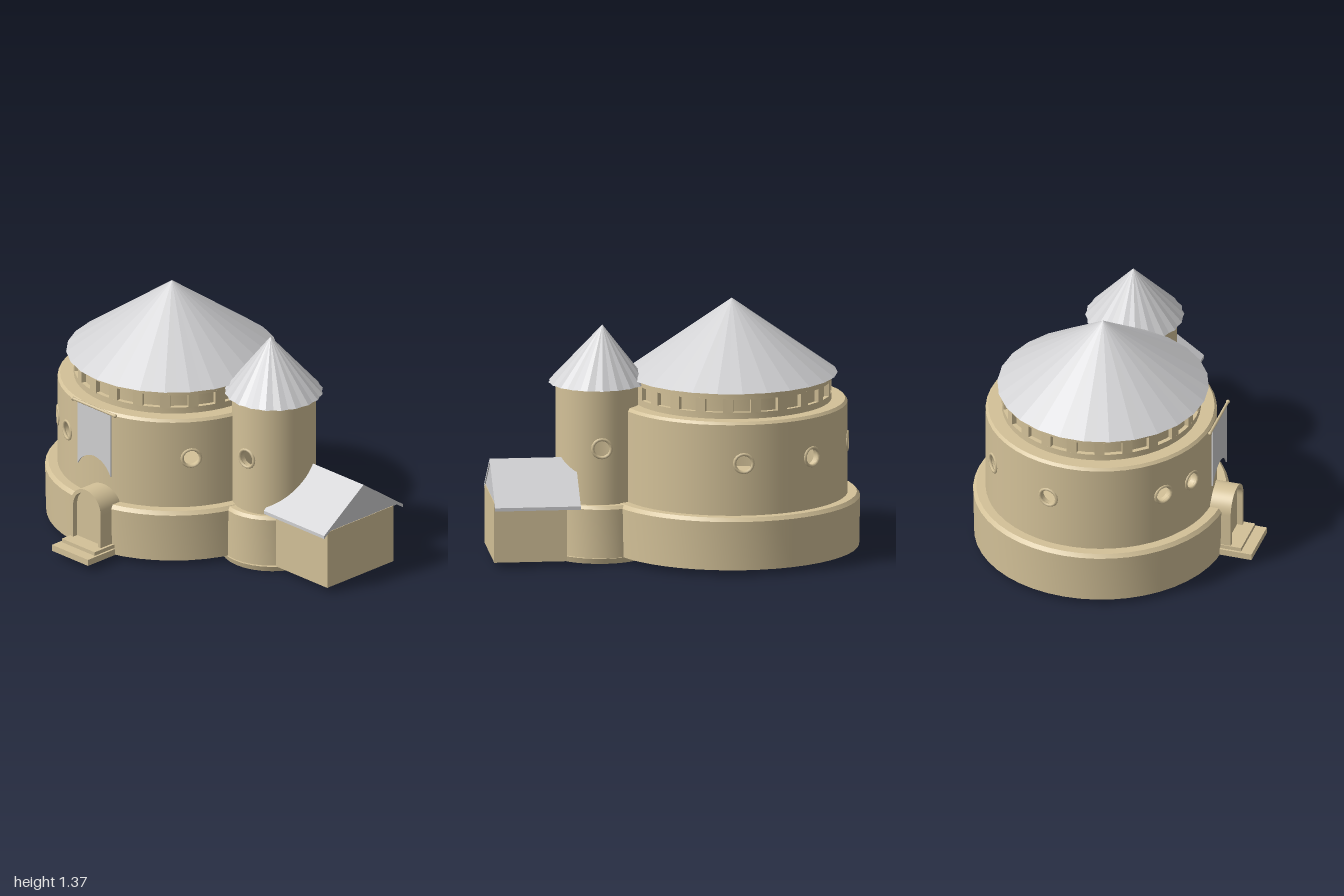
import * as THREE from 'three';
import { toCreasedNormals } from 'three/addons/utils/BufferGeometryUtils.js';

export function createModel() {
  const model = new THREE.Group();
  const stone = new THREE.MeshStandardMaterial({ color: 0xd3c198, side: THREE.DoubleSide });
  stone.name = 'sandstone';
  const slate = new THREE.MeshStandardMaterial({ color: 0xd0d0d2, side: THREE.DoubleSide, flatShading: true });
  slate.name = 'pale grey';

  const add = (parent, name, geometry, material, x = 0, y = 0, z = 0) => {
    const mesh = new THREE.Mesh(geometry, material);
    mesh.name = name;
    mesh.position.set(x, y, z);
    parent.add(mesh);
    return mesh;
  };
  const box = (parent, name, w, h, d, x, y, z, material = stone) =>
    add(parent, name, new THREE.BoxGeometry(w, h, d), material, x, y, z);
  const lathe = (profile, segments = 48) => toCreasedNormals(
    new THREE.LatheGeometry(profile.map(([r, y]) => new THREE.Vector2(r, y)), segments), 0.6);

  // Round wall shell with real round openings; angles run from +z towards +x
  function wallShell(r, y0, y1, yc, hole, degrees) {
    const pos = [], nor = [];
    const put = ([a, y]) => {
      pos.push(r * Math.sin(a), y, r * Math.cos(a));
      nor.push(Math.sin(a), 0, Math.cos(a));
    };
    const quad = (a, b, c, d) => [a, b, c, a, c, d].forEach(put);
    const half = (hole + 0.02) / r;
    const angles = degrees.map(THREE.MathUtils.degToRad).sort((a, b) => a - b);
    angles.forEach((mid, i) => {
      // panel: blends from the circular hole to a rectangle
      const n = 24;
      const at = (k, outer) => {
        const t = k / n * Math.PI * 2, c = Math.cos(t), s = Math.sin(t);
        if (!outer) return [mid + hole * c / r, yc + hole * s];
        const m = Math.max(Math.abs(c), Math.abs(s));
        return [mid + half * c / m, yc + (s > 0 ? y1 - yc : yc - y0) * s / m];
      };
      for (let k = 0; k < n; k++) quad(at(k, 0), at(k, 1), at(k + 1, 1), at(k + 1, 0));
      // plain wall up to the next panel
      const start = mid + half;
      const end = (i + 1 < angles.length ? angles[i + 1] : angles[0] + Math.PI * 2) - half;
      const steps = Math.max(1, Math.ceil((end - start) / 0.13));
      for (let k = 0; k < steps; k++) {
        const a = start + (end - start) * k / steps, b = start + (end - start) * (k + 1) / steps;
        quad([a, y0], [b, y0], [b, y1], [a, y1]);
      }
    });
    const g = new THREE.BufferGeometry();
    g.setAttribute('position', new THREE.Float32BufferAttribute(pos, 3));
    g.setAttribute('normal', new THREE.Float32BufferAttribute(nor, 3));
    return g;
  }

  // Rim and reveal of each round window
  function windows(parent, r, y, hole, degrees) {
    degrees.forEach((deg) => {
      const g = new THREE.Group();
      g.name = 'roundWindow';
      g.rotation.y = THREE.MathUtils.degToRad(deg);
      add(g, 'windowRim', new THREE.TorusGeometry(hole, 0.009, 6, 16), stone, 0, y, r - 0.002);
      const reveal = new THREE.CylinderGeometry(hole, hole, 0.04, 16, 1, true).rotateX(Math.PI / 2);
      add(g, 'windowReveal', reveal, stone, 0, y, r - 0.02);
      parent.add(g);
    });
  }

  // Cone whose every other rib is drawn in, giving folded sheets
  function pleatedRoof(radius, height, folds, depth) {
    const g = new THREE.ConeGeometry(radius, height, folds * 2, 1);
    const p = g.attributes.position;
    for (let i = 0; i < p.count; i++) {
      const x = p.getX(i), z = p.getZ(i);
      if (Math.hypot(x, z) < radius * 0.5) continue;
      const k = Math.round(Math.atan2(x, z) / Math.PI * folds);
      if (Math.abs(k) % 2) p.setXYZ(i, x * (1 - depth), p.getY(i), z * (1 - depth));
    }
    return g;
  }

  // Main round tower
  const keep = new THREE.Group();
  keep.name = 'mainTower';
  keep.position.set(-0.315, 0, -0.085);
  model.add(keep);
  add(keep, 'plinth', lathe([[0, 0.03], [0.68, 0.03], [0.685, 0.295], [0.668, 0.315], [0, 0.315]]), stone);
  const keepWindows = [-40, -21, 54.5, 180, -142, -100];
  add(keep, 'wall', wallShell(0.618, 0.31, 0.805, 0.6, 0.05, keepWindows), stone);
  windows(keep, 0.618, 0.6, 0.05, keepWindows);
  add(keep, 'wallTop', lathe([[0.618, 0.8], [0.618, 0.81], [0.605, 0.825], [0.49, 0.825]]), stone);

  // Upper drum with a ring of small square recesses
  add(keep, 'drumCore', lathe([[0.508, 0.82], [0.508, 0.97]]), stone);
  add(keep, 'drumSill', lathe([[0.532, 0.82], [0.532, 0.86], [0.505, 0.86]]), stone);
  add(keep, 'drumLintel', lathe([[0.505, 0.93], [0.532, 0.93], [0.532, 0.97]]), stone);
  const bays = 22;
  for (let i = 0; i < bays; i++) {
    const a = (i + 0.5) / bays * Math.PI * 2;
    const pier = box(keep, 'drumPier', 0.055, 0.08, 0.03, 0.516 * Math.sin(a), 0.895, 0.516 * Math.cos(a));
    pier.rotation.y = a;
  }
  add(keep, 'mainRoof', pleatedRoof(0.566, 0.405, 26, 0.008), slate, 0, 1.1675, 0.01);

  // Side turret
  const turret = new THREE.Group();
  turret.name = 'sideTurret';
  turret.position.set(0.41, 0, -0.125);
  model.add(turret);
  add(turret, 'turretFooting', new THREE.CylinderGeometry(0.28, 0.27, 0.03, 32), stone, -0.01, 0.015, 0);
  add(turret, 'turretPlinth', lathe([[0, 0.02], [0.27, 0.02], [0.27, 0.295], [0.255, 0.312], [0, 0.312]], 32), stone, -0.02);
  add(turret, 'turretWall', wallShell(0.225, 0.3, 0.95, 0.62, 0.05, [5, 180]), stone);
  windows(turret, 0.225, 0.62, 0.05, [5, 180]);
  const cone = pleatedRoof(0.265, 0.31, 20, 0.03);
  const cp = cone.attributes.position;
  for (let i = 0; i < cp.count; i++) if (cp.getY(i) > 0) cp.setX(i, cp.getX(i) - 0.025);
  add(turret, 'turretRoof', cone, slate, 0, 1.095, 0);

  // Gabled annex
  const annex = new THREE.Group();
  annex.name = 'annex';
  model.add(annex);
  box(annex, 'annexWalls', 0.39, 0.325, 0.495, 0.803, 0.1925, -0.195);
  const prism = (points, length) => new THREE.ExtrudeGeometry(
    new THREE.Shape(points.map(([x, y]) => new THREE.Vector2(x, y))),
    { depth: length, bevelEnabled: false }).rotateY(Math.PI / 2);
  add(annex, 'annexGable', prism([[-0.265, 0.352], [0.265, 0.352], [0, 0.54]], 0.35), slate, 0.645, 0, -0.217);
  add(annex, 'annexRoof', prism([[-0.295, 0.325], [0, 0.532], [0.295, 0.325],
    [0.295, 0.343], [0, 0.55], [-0.295, 0.343]], 0.46), slate, 0.54, 0, -0.217);

  // Arched doorway and steps
  const entrance = new THREE.Group();
  entrance.name = 'entrance';
  entrance.position.set(-0.235, 0, 0);
  model.add(entrance);
  const arch = (PathType, w, bottom, spring) => {
    const s = new PathType();
    s.moveTo(-w, bottom);
    s.lineTo(w, bottom);
    s.lineTo(w, spring);
    s.absarc(0, spring, w, 0, Math.PI, false);
    s.lineTo(-w, bottom);
    return s;
  };
  const extrude = (shape, depth) => toCreasedNormals(
    new THREE.ExtrudeGeometry(shape, { depth, bevelEnabled: false, curveSegments: 14 }), 0.6);
  const frame = arch(THREE.Shape, 0.115, 0.04, 0.28);
  frame.holes.push(arch(THREE.Path, 0.095, 0.06, 0.28));
  add(entrance, 'doorArch', extrude(frame, 0.15), stone, 0, 0, 0.5);
  add(entrance, 'door', extrude(arch(THREE.Shape, 0.097, 0.05, 0.28), 0.12), stone, 0, 0, 0.5);
  box(entrance, 'lowerStep', 0.275, 0.035, 0.2, 0.005, 0.0525, 0.672);
  box(entrance, 'upperStep', 0.25, 0.022, 0.15, 0.005, 0.08, 0.635);

  // Hanging banner with swallowtail foot
  const banner = new THREE.Group();
  banner.name = 'banner';
  banner.position.set(-0.26, 0, 0.558);
  model.add(banner);
  const cloth = new THREE.Shape();
  cloth.moveTo(-0.125, 0.835);
  cloth.lineTo(-0.125, 0.48);
  cloth.quadraticCurveTo(-0.09, 0.55, 0, 0.56);
  cloth.quadraticCurveTo(0.09, 0.55, 0.125, 0.475);
  cloth.lineTo(0.125, 0.835);
  add(banner, 'bannerCloth', new THREE.ExtrudeGeometry(cloth, { depth: 0.008, bevelEnabled: false }), slate, 0, 0, -0.004);
  add(banner, 'bannerPole', new THREE.CylinderGeometry(0.008, 0.008, 0.32, 8).rotateZ(Math.PI / 2), stone, -0.005, 0.842, 0);
  for (const side of [-1, 1])
    add(banner, 'poleKnob', new THREE.SphereGeometry(0.011, 8, 6), stone, -0.005 + side * 0.16, 0.842, 0);

  return model;
}
